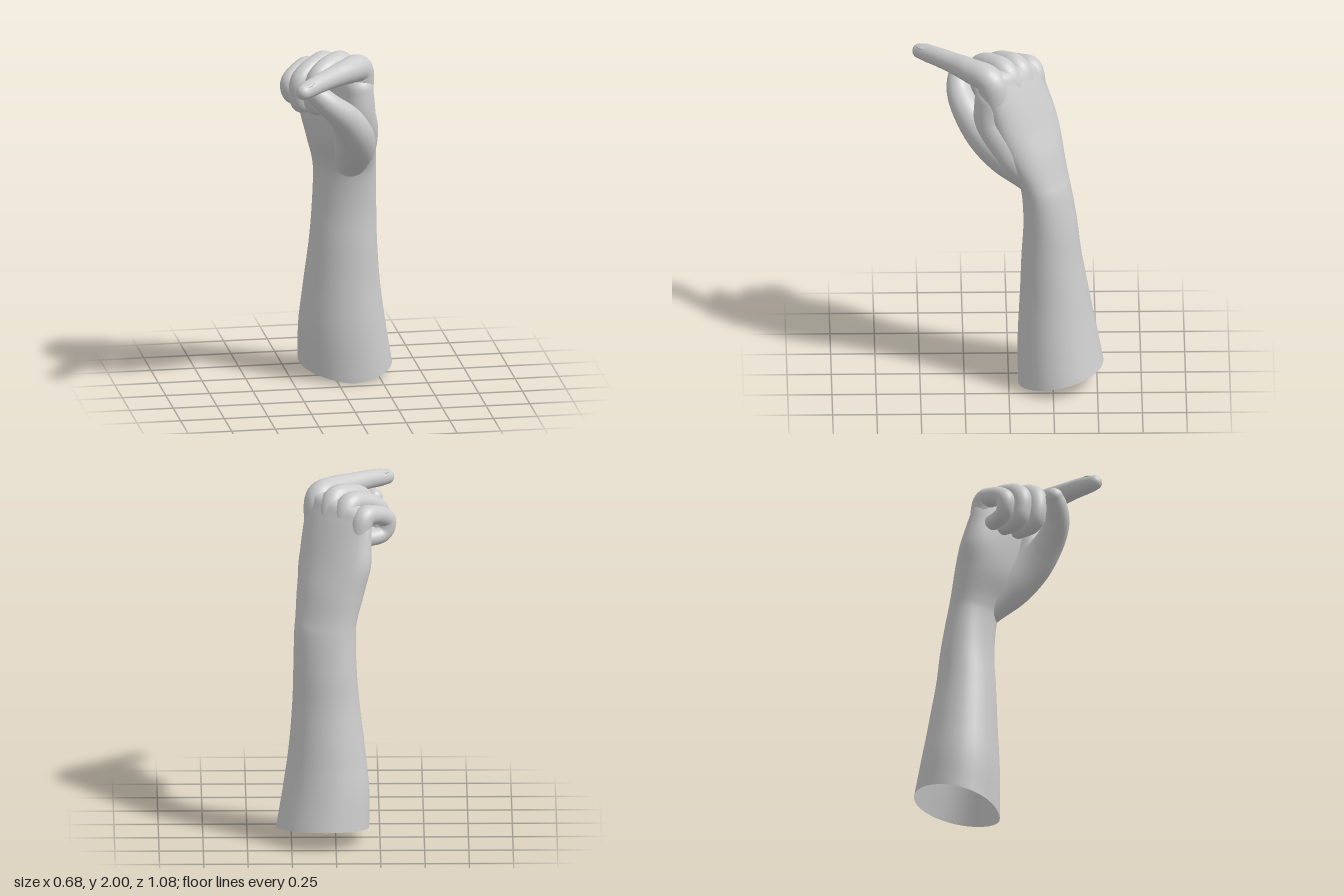
import * as THREE from 'three';

const SIDES = 32;
const V = (x, y, z) => new THREE.Vector3(x, y, z);
const skinMaterial = new THREE.MeshStandardMaterial({ color: 0xcccccc, side: THREE.DoubleSide });

// Skins a list of rings (each SIDES points, counter-clockwise about the path)
function skin(name, rings) {
  const positions = rings.flat().flatMap((p) => [p.x, p.y, p.z]);
  const index = [];
  for (let i = 0; i < rings.length - 1; i++) {
    for (let j = 0; j < SIDES; j++) {
      const a = i * SIDES + j, b = i * SIDES + ((j + 1) % SIDES);
      index.push(a, b, a + SIDES, b, b + SIDES, a + SIDES);
    }
  }
  const geometry = new THREE.BufferGeometry();
  geometry.setAttribute('position', new THREE.Float32BufferAttribute(positions, 3));
  geometry.setIndex(index);
  geometry.computeVertexNormals();
  const mesh = new THREE.Mesh(geometry, skinMaterial);
  mesh.name = name;
  return mesh;
}

const smooth = (points) => new THREE.CatmullRomCurve3(points, false, 'catmullrom', 0.5);

// Round-ended limb through joints given as [x, y, z, radius]
function limb(name, joints) {
  const path = smooth(joints.map((j) => V(j[0], j[1], j[2])));
  const radii = smooth(joints.map((j) => V(j[3], 0, 0)));
  const rings = [];
  let normal = V(0.5, 0.2, -0.6);
  const addRing = (t, along, scale) => {
    const tangent = path.getTangent(t);
    normal = normal.clone().addScaledVector(tangent, -normal.dot(tangent)).normalize();
    const side = tangent.clone().cross(normal);
    const r = radii.getPoint(t).x;
    const centre = path.getPoint(t).addScaledVector(tangent, along * r);
    rings.push(Array.from({ length: SIDES }, (_, j) => {
      const u = (j / SIDES) * Math.PI * 2;
      return centre.clone()
        .addScaledVector(normal, Math.cos(u) * r * scale)
        .addScaledVector(side, Math.sin(u) * r * scale);
    }));
  };
  const CAP = 7, STEPS = joints.length * 8;
  for (let k = 0; k < CAP; k++) {
    const a = (k / CAP) * Math.PI / 2;
    addRing(0, -Math.cos(a), Math.sin(a) + 0.001);
  }
  for (let i = 0; i <= STEPS; i++) addRing(i / STEPS, 0, 1);
  for (let k = CAP - 1; k >= 0; k--) {
    const a = (k / CAP) * Math.PI / 2;
    addRing(1, Math.cos(a), Math.sin(a) + 0.001);
  }
  return skin(name, rings);
}

// Forearm, wrist and palm in one loft: [y, x, z, half width, half depth, turn]
function armAndPalm() {
  const sections = [
    [0.06, 0.075, -0.295, 0.268, 0.239, 0.35],
    [0.3, 0.055, -0.275, 0.248, 0.22, 0.35],
    [0.55, 0.05, -0.26, 0.218, 0.193, 0.35],
    [0.8, 0.055, -0.243, 0.194, 0.166, 0.36],
    [1.0, 0.06, -0.236, 0.184, 0.147, 0.37],
    [1.2, 0.06, -0.214, 0.181, 0.132, 0.4],
    [1.3, 0.05, -0.188, 0.187, 0.13, 0.5],
    [1.45, 0.025, -0.134, 0.214, 0.143, 0.66],
    [1.6, 0.0, -0.094, 0.238, 0.129, 0.7],
    [1.75, -0.013, -0.057, 0.235, 0.107, 0.72],
    [1.86, -0.024, -0.034, 0.22, 0.086, 0.72],
    [1.925, -0.022, -0.022, 0.18, 0.06, 0.72],
    [1.953, -0.02, -0.015, 0.002, 0.002, 0.72],
  ];
  const centres = smooth(sections.map(([y, x, z]) => V(x, y, z)));
  const shapes = smooth(sections.map((s) => V(s[3], s[4], s[5])));
  const STEPS = 96;
  const rings = [];
  for (let i = 0; i <= STEPS; i++) {
    const c = centres.getPoint(i / STEPS);
    const { x: w, y: d, z: turn } = shapes.getPoint(i / STEPS);
    // The open cut end rises towards the back; the knuckle end drops to the little finger
    const cut = Math.max(0, 1 - (c.y - 0.06) / 0.4);
    const tilt = 0.15 * THREE.MathUtils.smoothstep(c.y, 1.45, 1.9);
    rings.push(Array.from({ length: SIDES }, (_, j) => {
      const u = (j / SIDES) * Math.PI * 2;
      const a = Math.cos(u) * w, b = Math.sin(u) * d;
      const x = c.x + a * Math.cos(turn) + b * Math.sin(turn);
      const z = c.z + a * Math.sin(turn) - b * Math.cos(turn);
      const back = THREE.MathUtils.clamp((-0.05 - z) / 0.49, 0, 1);
      return V(x, c.y + cut * (0.12 * back ** 0.6 - 0.06) + a * tilt, z);
    }));
  }
  return skin('forearmAndPalm', rings);
}

// Fingernail: a flattened dome laid along a direction
function nail(name, position, direction, up, size) {
  const mesh = new THREE.Mesh(new THREE.SphereGeometry(1, 20, 12), skinMaterial);
  const z = direction.clone().normalize();
  const x = up.clone().cross(z).normalize();
  mesh.quaternion.setFromRotationMatrix(new THREE.Matrix4().makeBasis(x, z.clone().cross(x), z));
  mesh.position.copy(position);
  mesh.scale.set(...size);
  mesh.name = name;
  return mesh;
}

export function createModel() {
  const hand = new THREE.Group();
  hand.name = 'pointingHand';
  hand.add(armAndPalm());

  // Each finger starts inside the palm, so its knuckle rises from the back of the hand
  const fingers = {
    indexFinger: [
      [0.075, 1.56, -0.01, 0.095], [0.085, 1.76, 0.065, 0.09], [0.086, 1.905, 0.105, 0.082],
      [0.0, 1.927, 0.21, 0.071], [-0.09, 1.925, 0.295, 0.061], [-0.18, 1.921, 0.385, 0.054],
      [-0.25, 1.912, 0.452, 0.05], [-0.295, 1.905, 0.495, 0.043],
    ],
    middleFinger: [
      [0.03, 1.68, -0.06, 0.07], [0.015, 1.905, 0.005, 0.068], [-0.07, 1.93, 0.085, 0.062],
      [-0.155, 1.885, 0.155, 0.06], [-0.185, 1.79, 0.165, 0.055], [-0.165, 1.715, 0.14, 0.053],
      [-0.08, 1.715, 0.06, 0.049],
    ],
    ringFinger: [
      [-0.04, 1.66, -0.11, 0.065], [-0.065, 1.893, -0.065, 0.066], [-0.155, 1.905, 0.015, 0.06],
      [-0.24, 1.85, 0.075, 0.058], [-0.253, 1.765, 0.08, 0.054], [-0.23, 1.705, 0.055, 0.052],
      [-0.14, 1.71, -0.02, 0.048],
    ],
    littleFinger: [
      [-0.12, 1.63, -0.165, 0.055], [-0.152, 1.845, -0.14, 0.062], [-0.22, 1.86, -0.078, 0.055],
      [-0.285, 1.82, -0.015, 0.053], [-0.29, 1.765, -0.01, 0.049], [-0.255, 1.725, -0.03, 0.047],
      [-0.17, 1.72, -0.09, 0.045],
    ],
    // Thumb with the thick muscle at its base, running out of the wrist
    thumb: [
      [0.065, 1.21, -0.2, 0.075], [0.08, 1.33, -0.095, 0.1], [0.08, 1.44, 0.02, 0.116],
      [0.05, 1.55, 0.135, 0.107], [-0.015, 1.66, 0.228, 0.086], [-0.1, 1.745, 0.276, 0.071],
      [-0.175, 1.815, 0.276, 0.062], [-0.222, 1.855, 0.265, 0.049],
    ],
    // Flesh joining the thumb root to the index knuckle
    thumbWeb: [
      [0.085, 1.28, -0.14, 0.09], [0.105, 1.42, -0.03, 0.104], [0.1, 1.55, 0.045, 0.106],
      [0.085, 1.66, 0.1, 0.095], [0.083, 1.79, 0.105, 0.087],
    ],
  };
  for (const [name, joints] of Object.entries(fingers)) hand.add(limb(name, joints));

  hand.add(nail('indexNail', V(-0.268, 1.944, 0.47), V(-0.72, -0.18, 0.68), V(0, 1, 0), [0.039, 0.012, 0.052]));
  hand.add(nail('thumbNail', V(-0.215, 1.842, 0.304), V(-0.75, 0.62, -0.2), V(-0.2, 0, 1), [0.036, 0.012, 0.045]));
  return hand;
}
